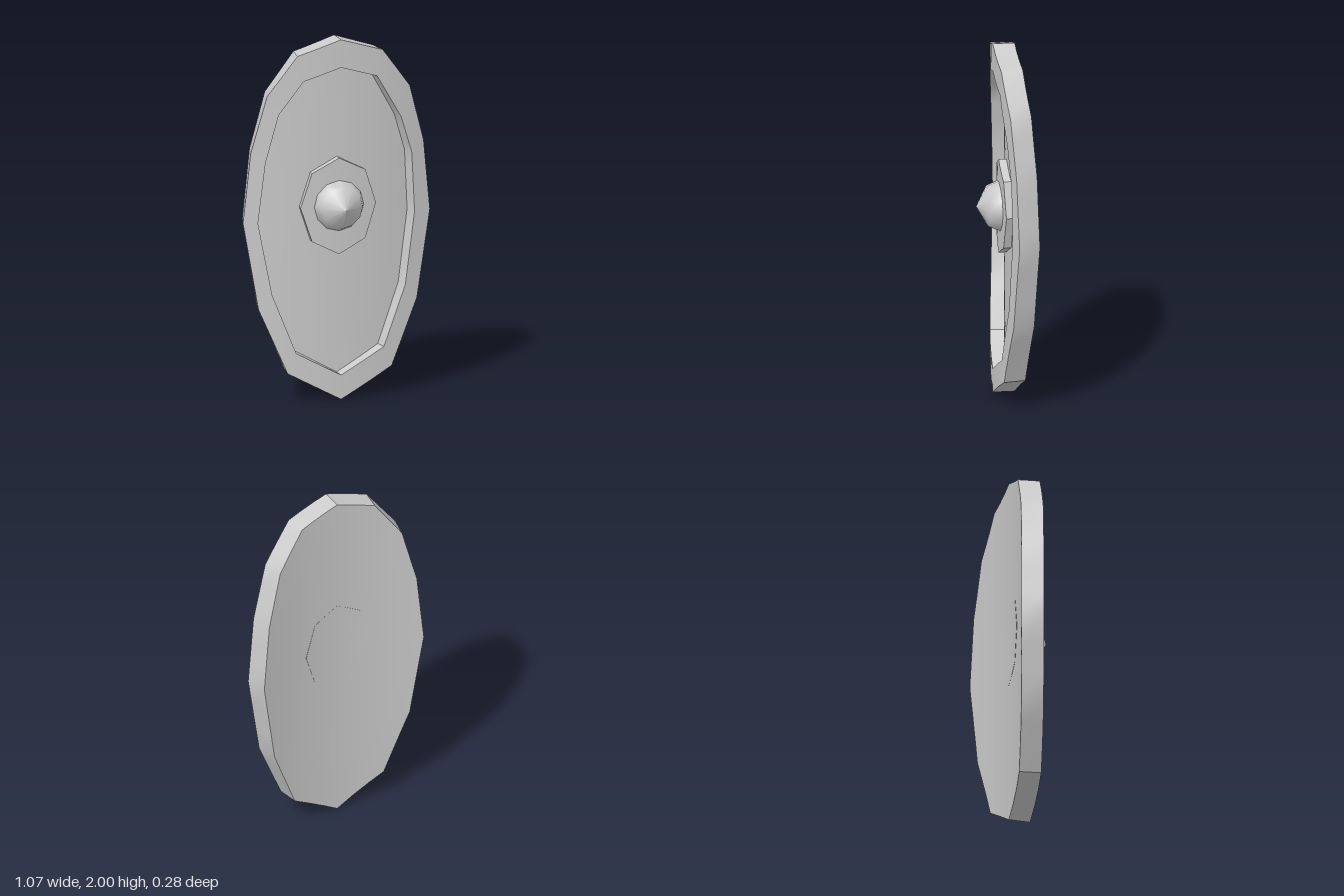
import * as THREE from 'three';
import { toCreasedNormals } from 'three/addons/utils/BufferGeometryUtils.js';

const material = new THREE.MeshStandardMaterial({ color: 0xcccccc });

// Mirror a right-hand half outline (top to bottom) into a closed loop
const mirrored = (half) => [
  ...half,
  ...half.slice(1, -1).reverse().map(([x, y]) => [-x, y]),
];

// Split every straight edge of a loop into n pieces so that it can bend
function subdivide(loop, n) {
  return loop.flatMap(([x, y], i) => {
    const [x2, y2] = loop[(i + 1) % loop.length];
    return Array.from({ length: n }, (_, k) => [x + ((x2 - x) * k) / n, y + ((y2 - y) * k) / n]);
  });
}

// Shrink a loop towards a centre height
const scaled = (loop, s, cy) => loop.map(([x, y]) => [x * s, cy + (y - cy) * s]);

// Skin rings of { loop, depth } and bend them around a vertical axis;
// depth is measured inwards from the curved front surface
function bentSkin(rings, radius, frontZ) {
  const positions = [];
  const count = rings[0].loop.length;
  const point = (r, i) => {
    const [x, y] = rings[r].loop[i % count];
    const angle = Math.asin(x / radius);
    const reach = radius - rings[r].depth;
    return new THREE.Vector3(reach * Math.sin(angle), y, frontZ - radius + reach * Math.cos(angle));
  };
  const triangle = (a, b, c) => {
    const area = b.clone().sub(a).cross(c.clone().sub(a)).length();
    if (area > 1e-9) positions.push(...a, ...b, ...c);
  };
  for (let r = 0; r < rings.length - 1; r++) {
    for (let i = 0; i < count; i++) {
      const a = point(r, i), b = point(r, i + 1), c = point(r + 1, i + 1), d = point(r + 1, i);
      triangle(a, d, c);
      triangle(a, c, b);
    }
  }
  const geometry = new THREE.BufferGeometry();
  geometry.setAttribute('position', new THREE.Float32BufferAttribute(positions, 3));
  return toCreasedNormals(geometry, 0.6);
}

// Rings filling a face, from the centre out to the edge
const faceRings = (loop, depth, cy) =>
  [0, 0.25, 0.5, 0.75, 1].map((s) => ({ loop: scaled(loop, s, cy), depth }));

export function createModel() {
  const group = new THREE.Group();
  const add = (name, geometry) => {
    const mesh = new THREE.Mesh(geometry, material);
    mesh.name = name;
    group.add(mesh);
    return mesh;
  };

  // Curved body: back face, outer side, raised rim and sunken front panel
  const outer = subdivide(mirrored([
    [0, 2], [0.243, 1.923], [0.407, 1.705], [0.493, 1.39],
    [0.533, 1], [0.452, 0.52], [0.297, 0.16], [0, 0],
  ]), 3);
  const inner = subdivide([
    [0, 1.845], [0.21, 1.78], [0.355, 1.535], [0.42, 1.33], [0.437, 1], [0.38, 0.6], [0.25, 0.27],
    [0, 0.135], [-0.25, 0.27], [-0.38, 0.6], [-0.455, 1], [-0.415, 1.335], [-0.345, 1.6], [-0.21, 1.78],
  ], 3);
  add('shieldBody', bentSkin([
    ...faceRings(outer, 0.12, 1),
    { loop: outer, depth: 0 },
    { loop: inner, depth: 0 },
    ...faceRings(inner, 0.075, 1).reverse(),
  ], 1.85, 0.052));

  // Octagonal plate behind the boss, its side corners just breaking the back
  const plate = subdivide(mirrored([
    [0, 1.335], [0.152, 1.258], [0.215, 1.068], [0.152, 0.878], [0, 0.8],
  ]), 3);
  add('bossPlate', bentSkin([
    ...faceRings(plate, 0.0885, 1.068),
    ...faceRings(plate, 0, 1.068).reverse(),
  ], 1.5, 0.02));

  // Pointed round boss
  const profile = [[0.136, -0.03], [0.14, 0.02], [0.113, 0.082], [0, 0.143]]
    .map(([r, z]) => new THREE.Vector2(r, z));
  const boss = add('boss', new THREE.LatheGeometry(profile, 12));
  boss.rotation.x = Math.PI / 2;
  boss.position.y = 1.07;

  return group;
}
